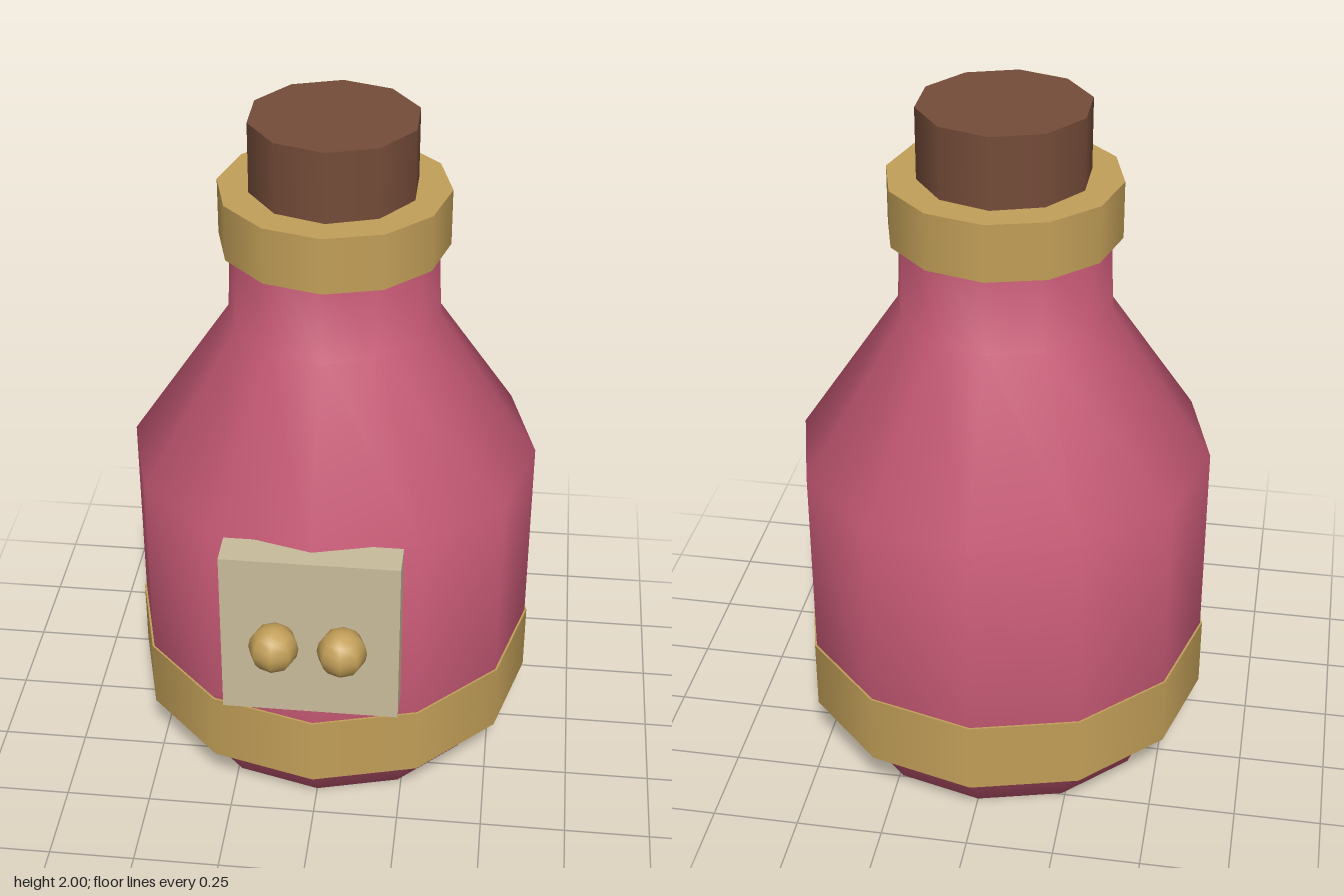
import * as THREE from 'three';

const paint = (name, color) => {
  const m = new THREE.MeshStandardMaterial({ color });
  m.name = name;
  return m;
};

export function createModel() {
  const model = new THREE.Group();
  model.name = 'corkedBottle';
  const glass = paint('rose glass', 0xc85a76);
  const brass = paint('brass', 0xc29f58);
  const cork = paint('cork brown', 0x754c39);
  const parchment = paint('parchment', 0xc9bc9b);

  const add = (parent, name, geometry, material, x, y, z) => {
    const mesh = new THREE.Mesh(geometry, material);
    mesh.name = name;
    mesh.position.set(x, y, z);
    parent.add(mesh);
    return mesh;
  };

  // Bottle sits slightly back so the label and beads balance the depth
  const bottle = new THREE.Group();
  bottle.name = 'bottle';
  bottle.position.z = -0.08;
  model.add(bottle);

  // Twelve-sided body: base, belly, shoulder, neck
  const profile = [[0, 0], [0.48, 0], [0.597, 0.3], [0.597, 0.96], [0.305, 1.4], [0.293, 1.7]]
    .map(([r, y]) => new THREE.Vector2(r, y));
  add(bottle, 'body', new THREE.LatheGeometry(profile, 12), glass, 0, 0, 0);

  // Bands and stopper: name, radius, bottom, top, sides, material
  for (const [name, r, y0, y1, sides, material] of [
    ['baseBand', 0.603, 0.15, 0.365, 12, brass],
    ['neckRing', 0.327, 1.63, 1.795, 12, brass],
    ['stopper', 0.24, 1.7, 2, 10, cork],
  ]) {
    add(bottle, name, new THREE.CylinderGeometry(r, r, y1 - y0, sides), material, 0, (y0 + y1) / 2, 0);
  }

  // Label plate with two beads on the front
  add(model, 'label', new THREE.BoxGeometry(0.5, 0.52, 0.1), parchment, 0, 0.712, 0.515);
  for (const [name, side] of [['leftBead', 1], ['rightBead', -1]]) {
    add(model, name, new THREE.SphereGeometry(0.07, 8, 8), brass, side * 0.095, 0.715, 0.612);
  }

  return model;
}
